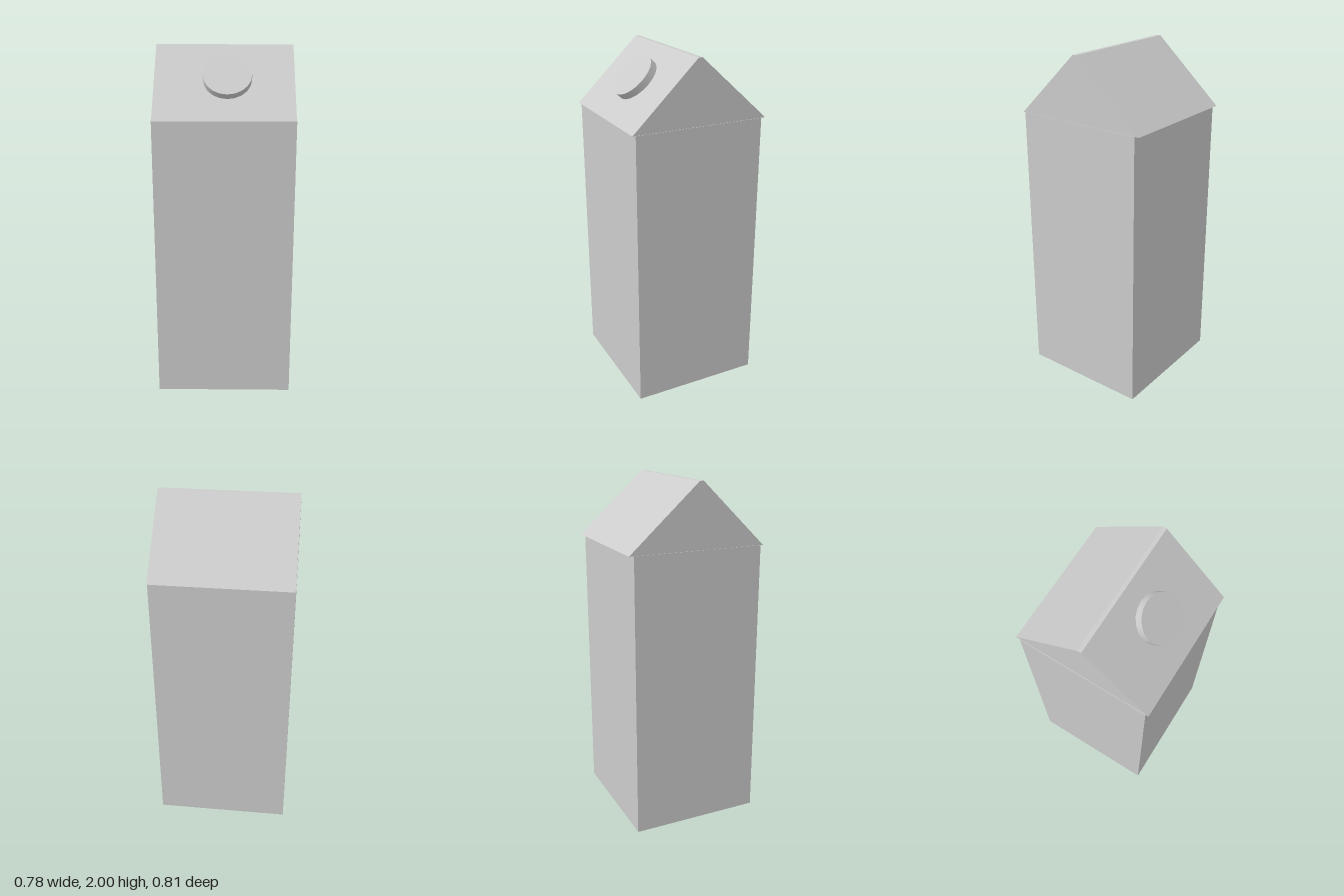
import * as THREE from 'three';

export function createModel() {
  const group = new THREE.Group();
  const material = new THREE.MeshStandardMaterial({ color: 0xcccccc });
  const add = (name, geometry) => {
    const mesh = new THREE.Mesh(geometry, material);
    mesh.name = name;
    group.add(mesh);
    return mesh;
  };

  const bodyHeight = 1.635;

  // Tall square carton body
  add('body', new THREE.BoxGeometry(0.778, bodyHeight, 0.762))
    .position.set(0, bodyHeight / 2, 0.005);

  // Gabled top: (z, y) profile with a narrow flat ridge, extruded along x
  const roofWidth = 0.772;
  const profile = new THREE.Shape([
    [-0.403, bodyHeight], [0.403, bodyHeight], [0.024, 2], [0.002, 2],
  ].map(([z, y]) => new THREE.Vector2(z, y)));
  const roof = new THREE.ExtrudeGeometry(profile, { depth: roofWidth, bevelEnabled: false });
  roof.rotateY(-Math.PI / 2);
  roof.translate(roofWidth / 2, 0, 0);
  add('gableTop', roof);

  // Round cap set into the front slope, its outer face at the local origin
  const capDepth = 0.07;
  const cap = add('cap', new THREE.CylinderGeometry(0.135, 0.135, capDepth, 20)
    .translate(0, -capDepth / 2, 0));
  cap.rotation.x = Math.PI / 4;
  cap.position.set(0.017, 1.861, 0.231);

  return group;
}
